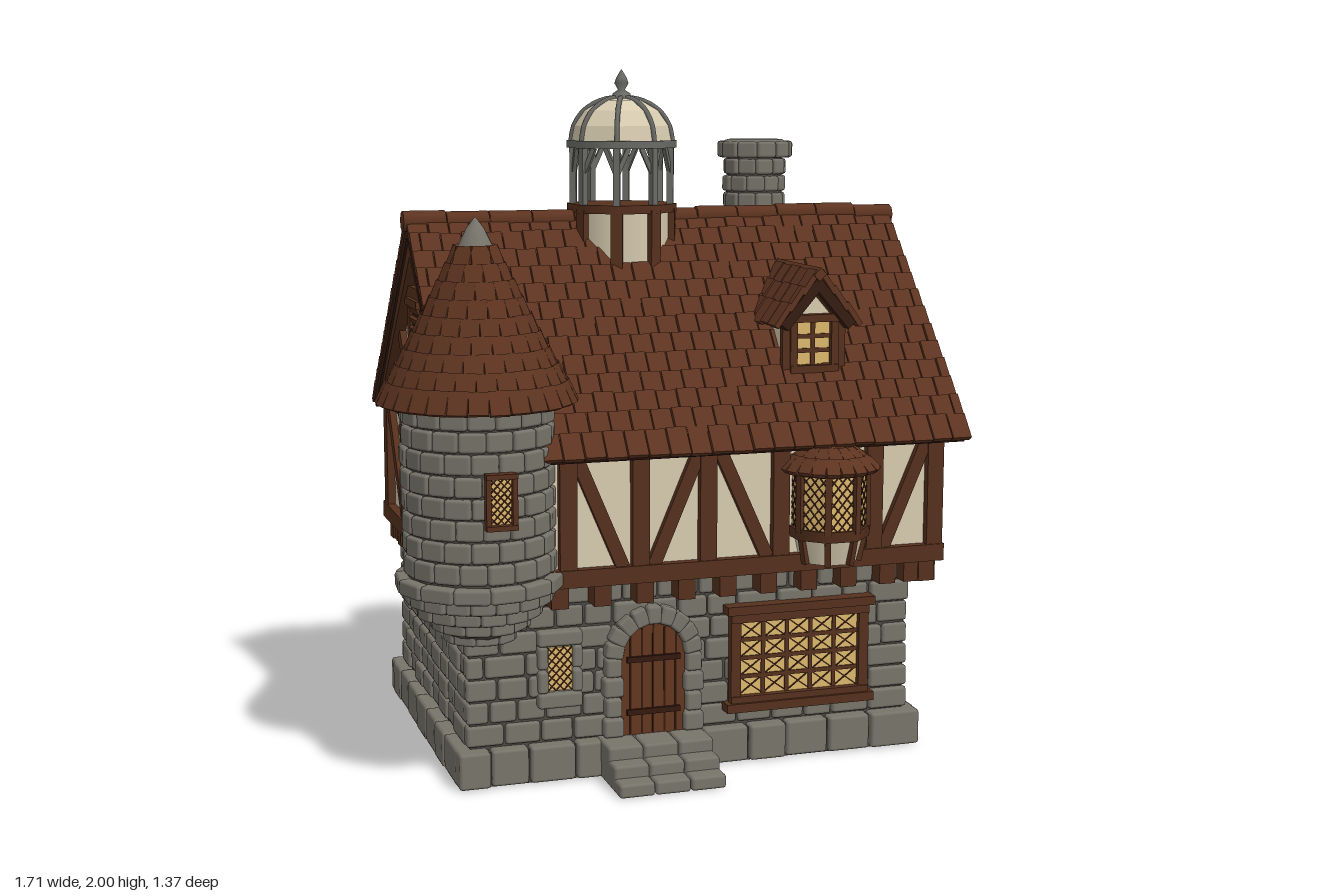
import * as THREE from 'three';
import { mergeGeometries } from 'three/addons/utils/BufferGeometryUtils.js';
import { RoundedBoxGeometry } from 'three/addons/geometries/RoundedBoxGeometry.js';

const PI = Math.PI;
const mat = (name, color, side = THREE.FrontSide) => new THREE.MeshStandardMaterial({ name, color, side });
const M = {
  stone: mat('stone', 0x77746a), mortar: mat('mortar', 0x4b4942),
  roof: mat('roofTile', 0x5e3420), roofDark: mat('roofUnderlay', 0x361d12),
  timber: mat('timber', 0x56301d), dark: mat('darkWood', 0x34190e), door: mat('doorWood', 0x63371f),
  plaster: mat('plaster', 0xd8ccb0, THREE.DoubleSide), glass: mat('glass', 0xdcb96c), metal: mat('metal', 0x6a6a66),
};

export function createModel() {
  const root = new THREE.Group();
  root.name = 'cottage';
  const bins = new Map();
  let seed = 7;
  const rnd = () => (seed = (seed * 16807) % 2147483647) / 2147483647;
  const at = (x, y, z, ry = 0, rx = 0, rz = 0) => new THREE.Matrix4().makeTranslation(x, y, z)
    .multiply(new THREE.Matrix4().makeRotationY(ry)).multiply(new THREE.Matrix4().makeRotationX(rx))
    .multiply(new THREE.Matrix4().makeRotationZ(rz));

  // Everything is placed in the current frame and merged by part name
  let frame = at(0, 0, 0);
  const put = (name, m, geo, local) => {
    const g = geo.index ? geo.toNonIndexed() : geo.clone();
    g.deleteAttribute('uv');
    g.clearGroups();
    if (local) g.applyMatrix4(local);
    g.applyMatrix4(frame);
    if (!bins.has(name)) bins.set(name, { m, list: [] });
    bins.get(name).list.push(g);
  };
  const box = (name, m, w, h, d, x, y, z, ry, rx, rz) =>
    put(name, m, new THREE.BoxGeometry(w, h, d), at(x, y, z, ry, rx, rz));
  const block = (name, w, h, d, local) => put(name, M.stone, new RoundedBoxGeometry(w, h, d, 1, 0.009), local);
  const beam = (name, m, u1, v1, u2, v2, wd, dp, n = 0) => {
    const len = Math.hypot(u2 - u1, v2 - v1);
    box(name, m, len, wd, dp, (u1 + u2) / 2, (v1 + v2) / 2, n + dp / 2, 0, 0, Math.atan2(v2 - v1, u2 - u1));
  };
  const octagon = (name, m, rTop, rBot, y0, y1) =>
    put(name, m, new THREE.CylinderGeometry(rTop, rBot, y1 - y0, 8).toNonIndexed(), at(0, (y0 + y1) / 2, 0, PI / 8));
  const lathe = (name, m, pts, n = 24, start = 0) =>
    put(name, m, new THREE.LatheGeometry(pts.map(p => new THREE.Vector2(...p)), n, start));

  // Runs a builder on the four faces of a rectangular footprint
  const sides = (cx, cz, w, d, fn) => {
    [[cx, cz + d / 2, 0, w], [cx + w / 2, cz, PI / 2, d], [cx, cz - d / 2, PI, w], [cx - w / 2, cz, -PI / 2, d]]
      .forEach(([x, z, ry, width], i) => { frame = at(x, 0, z, ry); fn(width, i); });
    frame = at(0, 0, 0);
  };
  const courses = (name, width, y0, y1, rows, avg, depth) => {
    const h = (y1 - y0) / rows;
    for (let r = 0; r < rows; r++) {
      let u = -width / 2, first = r % 2 ? 0.6 : 1;
      while (u < width / 2 - 0.001) {
        let w = avg * first * (0.8 + rnd() * 0.45);
        first = 1;
        if (width / 2 - u - w < avg * 0.5) w = width / 2 - u;
        block(name, w - 0.005, h - 0.005, depth, at(u + w / 2, y0 + h * (r + 0.5), -depth / 2 + (rnd() - 0.5) * 0.012));
        u += w;
      }
    }
  };
  const ring = (name, r, y, h, n, offset) => {
    for (let i = 0; i < n; i++) {
      const a = (i + offset) / n * PI * 2, local = at(0, y, 0, a).multiply(at(0, 0, r - 0.02 + (rnd() - 0.5) * 0.008));
      block(name, 2 * PI * r / n - 0.004, h - 0.004, 0.04, local);
    }
  };
  const tiledSlope = (name, w, len, rows, tileW) => {
    box(name + 'Underlay', M.roofDark, w - 0.012, 0.03, len - 0.01, 0, -0.017, len / 2);
    const step = len / rows, n = Math.round(w / tileW);
    for (let r = 0; r < rows; r++) for (let i = 0; i < n + (r % 2); i++) {
      const t = w / n, half = r % 2 && (i === 0 || i === n);
      const u = -w / 2 + t * (r % 2 ? (i === 0 ? 0.25 : i === n ? n - 0.25 : i) : i + 0.5);
      box(name, M.roof, (half ? t / 2 : t) - 0.004, 0.016, step * 1.2 + rnd() * 0.008, u, 0.006 + rnd() * 0.005,
        step * (r + 0.5) + 0.002, 0, 0.1);
    }
  };
  const tiledCone = (name, profile, rows, tileW) => {
    lathe(name + 'Underlay', M.roofDark, [[0.001, profile[0][1]], ...profile], 24);
    const curve = new THREE.CatmullRomCurve3(profile.map(p => new THREE.Vector3(p[0], p[1], 0)));
    for (let k = 0; k < rows; k++) {
      const a = curve.getPointAt(k / rows), b = curve.getPointAt((k + 1) / rows);
      const r = (a.x + b.x) / 2, n = Math.max(7, Math.round(2 * PI * a.x / tileW)), slope = Math.atan2(b.y - a.y, a.x - b.x);
      for (let i = 0; i < n; i++) {
        const local = at(0, (a.y + b.y) / 2, 0, (i + (k % 2) / 2) / n * 2 * PI).multiply(at(0, 0, r + 0.004, 0, slope + 0.08));
        box.call(null, name, M.roof, 0, 0, 0, 0, 0, 0) || put(name, M.roof,
          new THREE.BoxGeometry(2 * PI * a.x / n - 0.002, 0.016, a.distanceTo(b) * 1.2 + rnd() * 0.006), local);
      }
    }
  };
  // Glazing with glazing bars, optional diagonal leading and a frame
  const glazing = (name, u, v, w, h, cols, rows, bar, leaded, border = 0.022, n = 0) => {
    box(name + 'Glass', M.glass, w, h, 0.008, u, v, n + 0.004);
    const x0 = u - w / 2, y0 = v - h / 2, cw = w / cols, ch = h / rows;
    for (let i = 1; bar && i < cols; i++) beam(name + 'Bars', M.timber, x0 + i * cw, y0, x0 + i * cw, y0 + h, bar, 0.012, n);
    for (let j = 1; bar && j < rows; j++) beam(name + 'Bars', M.timber, x0, y0 + j * ch, x0 + w, y0 + j * ch, bar, 0.012, n);
    if (leaded) for (let i = 0; i < cols; i++) for (let j = 0; j < rows; j++) {
      const a = x0 + i * cw, b = y0 + j * ch;
      beam(name + 'Leading', M.dark, a, b, a + cw, b + ch, 0.004, 0.01, n);
      beam(name + 'Leading', M.dark, a, b + ch, a + cw, b, 0.004, 0.01, n);
    }
    if (border) for (const s of [-1, 1]) {
      box(name + 'Frame', M.timber, border, h + border * 2, 0.026, u + s * (w + border) / 2, v, n + 0.013);
      box(name + 'Frame', M.timber, w + border * 2, border, 0.03, u, v + s * (h + border) / 2, n + 0.015);
    }
  };
  const gabledBody = (name, half, y0, eave, peak, length) => {
    const s = new THREE.Shape([[-half, y0], [half, y0], [half, eave], [0, peak], [-half, eave]].map(p => new THREE.Vector2(...p)));
    put(name, M.plaster, new THREE.ExtrudeGeometry(s, { depth: length, bevelEnabled: false }));
  };

  // Foundation and stone ground floor
  box('foundationCore', M.mortar, 1.37, 0.1, 0.99, 0.045, 0.05, -0.065);
  sides(0.045, -0.065, 1.41, 1.03, (w, i) => courses('foundation', i % 2 ? w - 0.08 : w, 0, 0.11, 1, 0.12, 0.08));
  box('groundFloorCore', M.mortar, 1.325, 0.5, 0.945, 0.045, 0.33, -0.065);
  sides(0.045, -0.065, 1.35, 0.97, (w, i) => courses('groundFloorStones', i % 2 ? w - 0.06 : w, 0.11, 0.57, 7, 0.1, 0.045));
  [[0.64, 0.04], [0.585, 0.075], [0.53, 0.112]].forEach(([z, y]) => {
    for (let i = 0; i < 3; i++) block('steps', 0.103, y, z - 0.4, at(-0.195 + i * 0.105, y / 2, (z + 0.4) / 2));
  });

  // Upper floor: plaster body, floor beams and corbels
  frame = at(-0.64, 0, -0.06, PI / 2);
  gabledBody('upperWalls', 0.53, 0.6, 0.98, 1.5, 1.405);
  frame = at(0, 0, 0);
  box('floorDeck', M.timber, 1.4, 0.03, 1.05, 0.0625, 0.585, -0.06);
  sides(0.0625, -0.06, 1.405, 1.06, w => {
    beam('floorBeams', M.timber, -w / 2 - 0.025, 0.598, w / 2 + 0.025, 0.598, 0.05, 0.05, -0.022);
    const n = Math.round(w / 0.125);
    for (let i = 0; i <= n; i++) box('corbels', M.timber, 0.05, 0.065, 0.1, (i / n - 0.5) * (w - 0.04), 0.543, -0.04);
  });

  // Timber framing of front and back
  const post = (u, w = 0.045) => beam('timberFrame', M.timber, u, 0.61, u, 0.97, w, 0.024);
  const brace = (u1, u2, y1 = 0.62, y2 = 0.95) => beam('timberFrame', M.timber, u1, y1, u2, y2, 0.038, 0.02);
  frame = at(0, 0, 0.47);
  [-0.35, -0.14, 0.06, 0.28, 0.57, 0.762].forEach(u => post(u, 0.05));
  [[-0.19, -0.33], [-0.1, 0.04], [0.24, 0.09], [0.6, 0.74]].forEach(b => brace(...b));
  beam('timberFrame', M.timber, -0.63, 0.955, 0.78, 0.955, 0.05, 0.024);
  frame = at(0.0625, 0, -0.59, PI);
  for (let i = 0; i <= 7; i++) {
    const u = -0.68 + i * 1.36 / 7;
    post(u);
    if (i < 7) i % 2 ? brace(u + 0.03, u + 0.165) : brace(u + 0.165, u + 0.03);
  }
  beam('timberFrame', M.timber, -0.7, 0.955, 0.7, 0.955, 0.05, 0.024);

  // Gable ends
  [[0.765, PI / 2], [-0.64, -PI / 2]].forEach(([x, ry]) => {
    frame = at(x, 0, -0.06, ry);
    beam('timberFrame', M.timber, -0.55, 0.985, 0.55, 0.985, 0.065, 0.03);
    beam('timberFrame', M.timber, -0.13, 1.345, 0.13, 1.345, 0.04, 0.022);
    beam('timberFrame', M.timber, -0.25, 0.685, 0.25, 0.685, 0.03, 0.022);
    for (const s of [-1, 1]) {
      post(s * 0.515, 0.055); post(s * 0.245, 0.04); post(s * 0.04, 0.04);
      brace(s * 0.27, s * 0.49);
      beam('timberFrame', M.timber, s * 0.56, 0.965, 0, 1.5, 0.06, 0.035);
      beam('timberFrame', M.timber, s * 0.095, 1.0, s * 0.095, 1.36, 0.04, 0.022);
      beam('timberFrame', M.timber, s * 0.12, 1.02, s * 0.27, 1.2, 0.038, 0.02);
      glazing('gableWindow', s * 0.14, 0.81, 0.12, 0.18, 2, 3, 0.016, false, 0.026, 0.005);
    }
    box('louvreBack', M.dark, 0.15, 0.22, 0.01, 0, 1.21, 0.01);
    for (let i = 0; i < 7; i++) box('louvreSlats', M.timber, 0.12, 0.02, 0.012, 0, 1.12 + i * 0.03, 0.02, 0, 0.5);
    for (const s of [-1, 1]) box('louvreFrame', M.timber, 0.17, 0.022, 0.035, 0, 1.21 + s * 0.112, 0.018);
  });

  // Main roof
  const a = Math.atan2(0.61, 0.605), len = 0.862;
  [0, PI].forEach(ry => { frame = at(0.0775, 1.56, -0.06, ry, a); tiledSlope('mainRoof', 1.53, len, 13, 0.062); });
  frame = at(0, 0, 0);
  for (let i = 0; i < 12; i++) put('ridgeTiles', M.roof, new THREE.CylinderGeometry(0.03, 0.03, 0.126, 8),
    at(-0.632 + i * 0.129, 1.557 + rnd() * 0.008, -0.06, 0, 0, PI / 2));

  // Dormer
  frame = at(0.42, 0, 0);
  gabledBody('dormerWalls', 0.085, 1.05, 1.28, 1.38, 0.36);
  frame = at(0.42, 0, 0.36);
  glazing('dormerWindow', 0, 1.215, 0.105, 0.125, 2, 3, 0.013, false, 0.022);
  for (const s of [-1, 1]) {
    beam('dormerTimber', M.timber, s * 0.085, 1.07, s * 0.085, 1.28, 0.025, 0.02);
    beam('dormerTimber', M.timber, s * 0.1, 1.27, 0, 1.385, 0.028, 0.03);
  }
  for (const s of [-1, 1]) {
    frame = at(0.42, 1.415, 0.23, s * PI / 2, Math.atan2(0.145, 0.125));
    tiledSlope('dormerRoof', 0.38, 0.185, 3, 0.06);
  }
  frame = at(0.42, 1.418, 0.23);
  box('dormerRidge', M.roof, 0.03, 0.026, 0.385, 0, 0, 0, 0, 0, PI / 4);

  // Front door and its stone arch
  frame = at(-0.085, 0, 0.42);
  const arch = new THREE.Shape();
  arch.moveTo(-0.095, 0.11).lineTo(0.095, 0.11).lineTo(0.095, 0.345).absarc(0, 0.345, 0.095, 0, PI, false);
  put('door', M.door, new THREE.ExtrudeGeometry(arch, { depth: 0.012, bevelEnabled: false, curveSegments: 12 }));
  for (let i = -2; i <= 2; i++) beam('doorGaps', M.dark, i * 0.034, 0.115, i * 0.034, 0.435 - Math.abs(i) * 0.012, 0.005, 0.015);
  for (const v of [0.18, 0.335]) beam('doorStraps', M.dark, -0.08, v, 0.08, v, 0.016, 0.022);
  for (let i = 0; i < 9; i++) {
    const t = (i + 0.5) / 9 * PI;
    block('doorArch', 0.054, 0.045, 0.06, at(Math.cos(t) * 0.118, 0.345 + Math.sin(t) * 0.118, 0.002, 0, 0, t));
  }
  for (const s of [-1, 1]) for (let i = 0; i < 4; i++)
    block('doorJambs', i % 2 ? 0.048 : 0.06, 0.056, 0.06, at(s * 0.12, 0.14 + i * 0.059, 0.002));

  // Ground floor windows
  frame = at(0, 0, 0.42);
  glazing('smallWindow', -0.36, 0.325, 0.07, 0.125, 3, 5, 0, true, 0);
  for (const s of [-1, 1]) {
    block('smallWindowSurround', 0.13, 0.045, 0.045, at(-0.36, 0.325 + s * 0.09, 0));
    for (const v of [0.29, 0.36]) block('smallWindowSurround', 0.03, 0.066, 0.045, at(-0.36 + s * 0.05, v, 0));
  }
  glazing('wideWindow', 0.362, 0.31, 0.37, 0.22, 5, 4, 0.012, true, 0.03, 0.004);
  for (const v of [0.168, 0.458]) box('wideWindowLedges', M.timber, 0.46, 0.026, 0.055, 0.362, v, 0.015);

  // Oriel window
  frame = at(0.425, 0, 0.49);
  octagon('orielBase', M.plaster, 0.105, 0.085, 0.6, 0.68);
  octagon('orielSill', M.timber, 0.122, 0.118, 0.672, 0.704);
  octagon('orielHead', M.timber, 0.122, 0.122, 0.858, 0.878);
  for (let i = 0; i < 8; i++) {
    const t = (i + 0.5) * PI / 4;
    box('orielPosts', M.timber, 0.02, 0.17, 0.02, Math.sin(t) * 0.111, 0.78, Math.cos(t) * 0.111, t);
    box('orielBrackets', M.timber, 0.018, 0.08, 0.02, Math.sin(t) * 0.095, 0.64, Math.cos(t) * 0.095, t, 0.2);
  }
  tiledCone('orielRoof', [[0.135, 0.875], [0.085, 0.915], [0.03, 0.95]], 3, 0.04);
  for (const t of [-PI / 2, -PI / 4, 0, PI / 4, PI / 2]) {
    frame = at(0.425, 0, 0.49, t);
    glazing('orielWindow', 0, 0.78, 0.08, 0.16, 3, 5, 0, true, 0, 0.095);
  }

  // Corner turret
  frame = at(-0.585, 0, 0.41);
  lathe('turretCore', M.mortar, [[0.001, 0.425], [0.08, 0.43], [0.125, 0.48], [0.18, 0.54], [0.2, 0.58], [0.2, 1.12]]);
  [[0.1, 9], [0.14, 12], [0.178, 15], [0.207, 18]].forEach(([r, n], i) => ring('turretCorbel', r, 0.447 + i * 0.038, 0.042, n, i / 2));
  ring('turretBand', 0.232, 0.6, 0.048, 14, 0.3);
  for (let i = 0; i < 8; i++) ring('turretStones', 0.212, 0.655 + i * 0.06, 0.06, 17, (i % 2) / 2 + rnd() * 0.2);
  tiledCone('turretRoof', [[0.265, 1.105], [0.185, 1.245], [0.11, 1.39], [0.045, 1.515]], 9, 0.055);
  lathe('turretTip', M.stone, [[0.058, 1.495], [0.05, 1.52], [0.025, 1.57], [0.001, 1.6]], 12);
  frame = at(-0.575, 0, 0.625);
  glazing('turretWindow', 0, 0.86, 0.058, 0.125, 3, 6, 0, true, 0.014);

  // Chimney
  frame = at(0.47, 0, -0.25);
  lathe('chimneyCore', M.mortar, [[0.088, 1.2], [0.088, 1.735], [0.001, 1.735]]);
  for (let i = 0; i < 9; i++) ring('chimneyStones', 0.096, 1.28 + i * 0.053, 0.053, 10, (i % 2) / 2);
  ring('chimneyCap', 0.115, 1.757, 0.055, 11, 0);
  put('chimneyRim', M.stone, new THREE.TorusGeometry(0.085, 0.027, 8, 24), at(0, 1.761, 0, 0, PI / 2));

  // Roof lantern
  frame = at(-0.03, 0, -0.05);
  octagon('lanternBase', M.plaster, 0.148, 0.148, 1.4, 1.59);
  octagon('lanternDeck', M.timber, 0.165, 0.165, 1.58, 1.605);
  octagon('lanternRing', M.metal, 0.165, 0.165, 1.77, 1.792);
  const dome = [[0.152, 1.79], [0.143, 1.835], [0.112, 1.88], [0.06, 1.91], [0.001, 1.92]];
  const shell = new THREE.LatheGeometry(dome.map(p => new THREE.Vector2(...p)), 8, PI / 8).toNonIndexed();
  shell.computeVertexNormals();
  put('lanternDome', M.plaster, shell);
  const rib = new THREE.TubeGeometry(new THREE.CatmullRomCurve3(dome.map(p => new THREE.Vector3(0, p[1], p[0]))), 10, 0.008, 5);
  for (let i = 0; i < 8; i++) {
    const t = (i + 0.5) * PI / 4;
    frame = at(-0.03, 0, -0.05, t);
    put('lanternRibs', M.metal, rib);
    box('lanternPosts', M.timber, 0.035, 0.2, 0.025, 0, 1.49, 0.148);
    box('lanternColumns', M.metal, 0.02, 0.17, 0.02, 0, 1.69, 0.146);
    frame = at(-0.03, 0, -0.05, t + PI / 8);
    for (const s of [-1, 1]) beam('lanternBraces', M.metal, s * 0.052, 1.7, s * 0.02, 1.77, 0.014, 0.012, 0.128);
  }
  frame = at(-0.03, 0, -0.05);
  lathe('finial', M.metal, [[0.032, 1.91], [0.026, 1.93], [0.01, 1.94], [0.021, 1.96], [0.016, 1.975], [0.001, 2]], 10);

  for (const [name, { m, list }] of bins) {
    const mesh = new THREE.Mesh(mergeGeometries(list), m);
    mesh.name = name;
    root.add(mesh);
  }
  return root;
}
